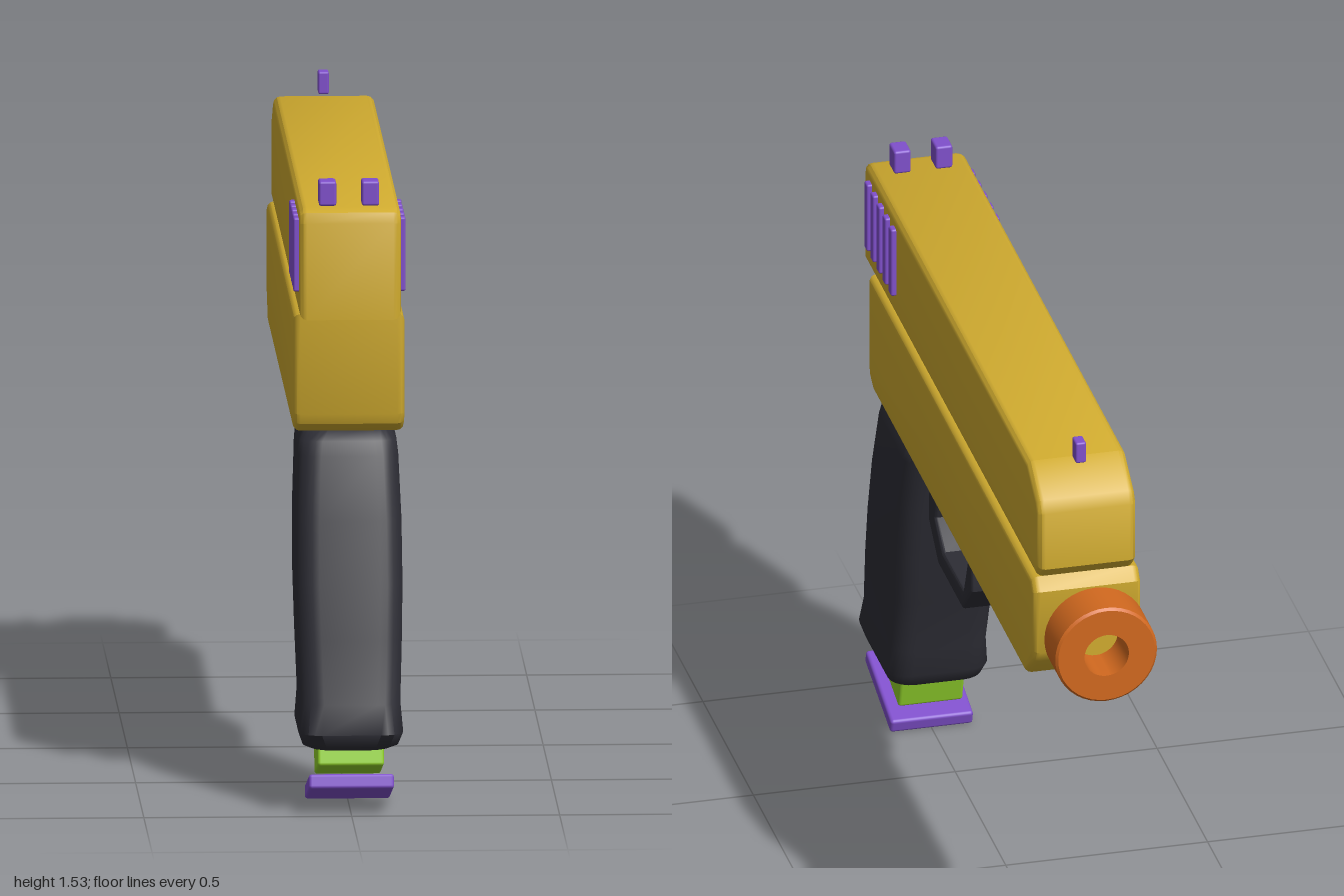
import * as THREE from 'three';
import { toCreasedNormals } from 'three/addons/utils/BufferGeometryUtils.js';
import { RoundedBoxGeometry } from 'three/addons/geometries/RoundedBoxGeometry.js';

const paint = (name, color) => {
  const m = new THREE.MeshStandardMaterial({ color });
  m.name = name;
  return m;
};

// Side profile of [z, y] points, extruded across x with softened edges.
function slab(points, halfWidth, bevel, hole) {
  const toVectors = (list) => list.map(([z, y]) => new THREE.Vector2(z, y));
  const shape = new THREE.Shape(toVectors(points));
  if (hole) shape.holes.push(new THREE.Path(toVectors(hole)));
  const depth = 2 * (halfWidth - bevel);
  const geometry = new THREE.ExtrudeGeometry(shape, {
    depth, bevelEnabled: true, bevelSize: bevel, bevelThickness: bevel,
    bevelOffset: -bevel, bevelSegments: 3, curveSegments: 8,
  });
  geometry.translate(0, 0, -depth / 2);
  geometry.rotateY(-Math.PI / 2);
  return toCreasedNormals(geometry, 0.6);
}

// Smooth loft through rounded rectangles: [y, back z, front z, half width].
function loft(sections, radius, cornerSteps) {
  const positions = [], index = [];
  const n = 4 * (cornerSteps + 1);
  for (const [y, z1, z0, w] of sections) {
    const mid = (z0 + z1) / 2, d = (z1 - z0) / 2;
    for (let q = 0; q < 4; q++) {
      const sx = q === 0 || q === 3 ? 1 : -1, sz = q < 2 ? 1 : -1;
      for (let k = 0; k <= cornerSteps; k++) {
        const t = (q + k / cornerSteps) * Math.PI / 2;
        positions.push(sx * (w - radius) + radius * Math.cos(t), y,
          mid + sz * (d - radius) + radius * Math.sin(t));
      }
    }
  }
  for (let i = 0; i < sections.length - 1; i++) {
    for (let j = 0; j < n; j++) {
      const a = i * n + j, c = i * n + (j + 1) % n;
      index.push(a, a + n, c, c, a + n, c + n);
    }
  }
  // Flat caps
  const top = (sections.length - 1) * n;
  for (let j = 1; j < n - 1; j++) {
    index.push(0, j, j + 1, top, top + j + 1, top + j);
  }
  const geometry = new THREE.BufferGeometry();
  geometry.setAttribute('position', new THREE.Float32BufferAttribute(positions, 3));
  geometry.setIndex(index);
  return toCreasedNormals(geometry, 0.9);
}

export function createModel() {
  const model = new THREE.Group();
  model.name = 'toyBlaster';
  const yellow = paint('yellow shell', 0xd0ab2f);
  const orange = paint('orange tip', 0xd2691f);
  const black = paint('charcoal grip', 0x2e2e36);
  const purple = paint('purple accent', 0x8050cc);
  const green = paint('green magazine', 0x92d22c);

  const add = (name, geometry, material, x = 0, y = 0, z = 0, tilt = 0) => {
    const mesh = new THREE.Mesh(geometry, material);
    mesh.name = name;
    mesh.position.set(x, y, z);
    mesh.rotation.x = tilt;
    model.add(mesh);
    return mesh;
  };
  const block = (w, h, d, r) => new RoundedBoxGeometry(w, h, d, 2, r);

  // Upper and lower shell
  add('slide', slab([
    [0.92, 1.2], [0.92, 1.435], [0.91, 1.46], [0.885, 1.47], [-0.7, 1.47],
    [-0.795, 1.41], [-0.812, 1.38], [-0.812, 1.23], [-0.785, 1.2],
  ], 0.122, 0.018), yellow);
  add('frame', slab([
    [0.83, 1.2], [0.83, 0.955], [0.82, 0.93], [0.785, 0.908], [-0.72, 0.908],
    [-0.795, 0.975], [-0.812, 1.005], [-0.812, 1.17], [-0.785, 1.2],
  ], 0.134, 0.018), yellow);

  // Muzzle
  add('barrel', new THREE.CylinderGeometry(0.08, 0.08, 0.14, 32), yellow,
    0, 1.08, -0.82, Math.PI / 2);
  const tipProfile = [
    [0.055, -0.06], [0.12, -0.06], [0.126, -0.054], [0.126, 0.054],
    [0.12, 0.06], [0.055, 0.06], [0.055, -0.06],
  ].map(([r, y]) => new THREE.Vector2(r, y));
  add('muzzleTip', toCreasedNormals(new THREE.LatheGeometry(tipProfile, 40), 0.6), orange,
    0, 1.08, -0.94, Math.PI / 2);

  // Raked grip with a flared foot
  add('grip', loft([
    [0.155, 0.945, 0.68, 0.095], [0.168, 0.978, 0.655, 0.115], [0.2, 0.998, 0.64, 0.126],
    [0.27, 0.975, 0.63, 0.12], [0.42, 0.94, 0.59, 0.125], [0.55, 0.905, 0.555, 0.128],
    [0.7, 0.865, 0.52, 0.127], [0.85, 0.82, 0.482, 0.121], [0.885, 0.805, 0.472, 0.117],
    [0.912, 0.775, 0.495, 0.1],
  ], 0.055, 5), black);

  // Trigger and its guard
  add('triggerGuard', slab([
    [0.47, 0.912], [0.495, 0.85], [0.495, 0.7], [0.4, 0.627], [0.16, 0.627],
    [0.073, 0.715], [0.066, 0.85], [0.09, 0.912],
  ], 0.068, 0.008, [
    [0.39, 0.866], [0.1, 0.866], [0.085, 0.84], [0.087, 0.74],
    [0.155, 0.68], [0.355, 0.68], [0.432, 0.735],
  ]), black);
  add('trigger', slab([
    [0.405, 0.89], [0.405, 0.82], [0.39, 0.775], [0.365, 0.742], [0.328, 0.738],
    [0.35, 0.775], [0.365, 0.82], [0.365, 0.89],
  ], 0.024, 0.004), purple);

  // Magazine, tilted with the grip
  add('magazine', block(0.16, 0.25, 0.21, 0.008), green, 0, 0.212, 0.814, -0.26);
  add('magazineBase', block(0.205, 0.036, 0.262, 0.008), purple, 0, 0.053, 0.857, -0.26);

  // Sights
  for (const x of [-0.053, 0.05]) {
    add('rearSight', block(0.042, 0.06, 0.055, 0.006), purple, x, 1.5, 0.847);
  }
  add('frontSight', block(0.026, 0.055, 0.04, 0.005), purple, 0, 1.5, -0.727);

  // Grip ridges on both sides of the slide
  for (const side of [-1, 1]) {
    for (let i = 0; i < 5; i++) {
      add('slideRidge', block(0.03, 0.18, 0.028, 0.005), purple, side * 0.12, 1.35, 0.85 - i * 0.06);
    }
  }
  return model;
}
